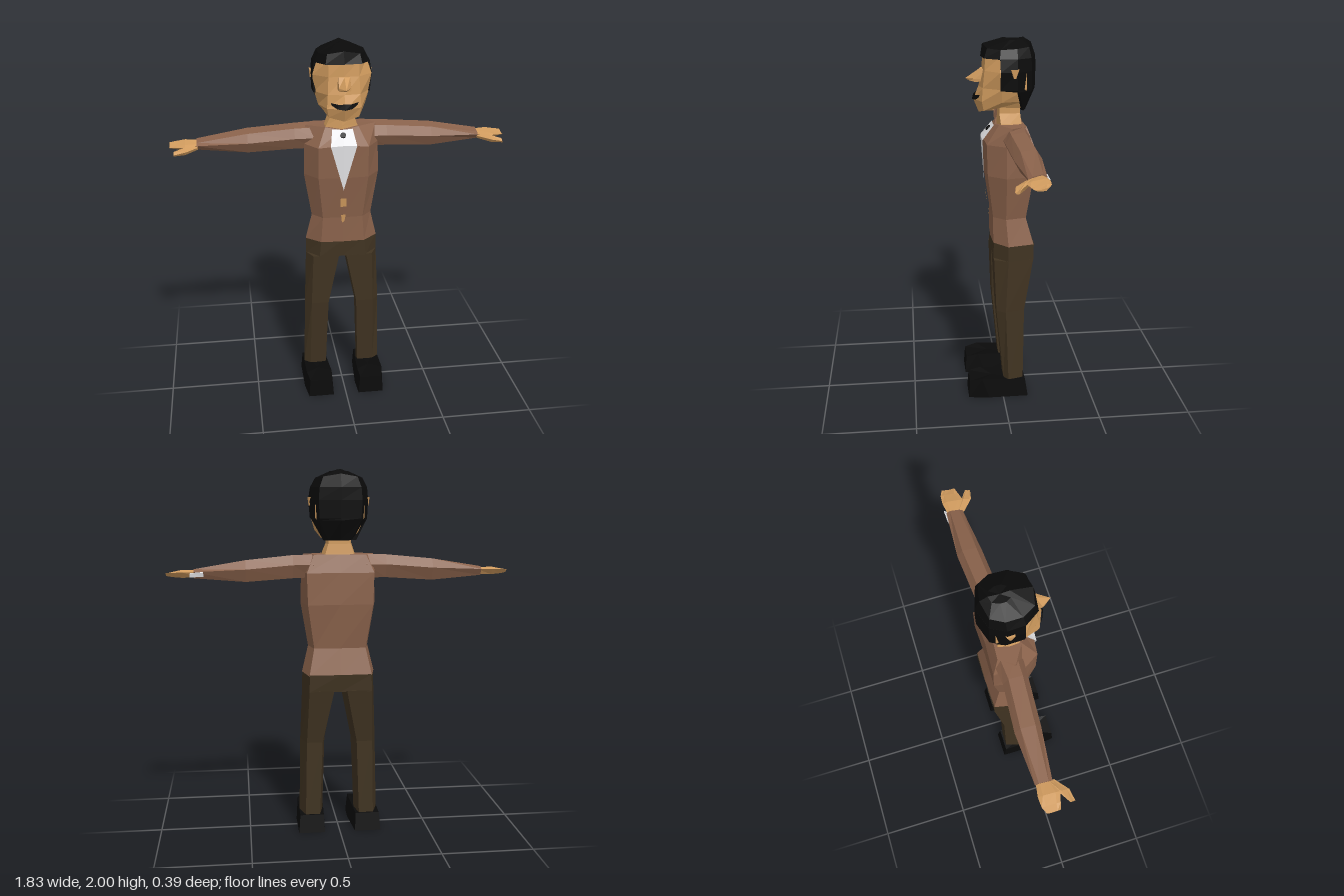
import * as THREE from 'three';

const paint = (name, color) => {
  const m = new THREE.MeshStandardMaterial({ color, flatShading: true, side: THREE.DoubleSide });
  m.name = name;
  return m;
};

// Closed loop from a half outline of [x, z, y?], front to back, mirrored across x
const half = (y, pts) => {
  const a = pts.map(([x, z, py]) => [x, py ?? y, z]);
  const b = a.filter(p => p[0] > 0).map(([x, py, z]) => [-x, py, z]).reverse();
  return [...a, ...b];
};
const flip = rings => rings.map(r => r.map(([x, y, z]) => [-x, y, z]).reverse());

// Skin a stack of equal loops and close both ends
function loft(rings) {
  const pos = [];
  const n = rings[0].length;
  const tri = (a, b, c) => pos.push(...a, ...b, ...c);
  for (let i = 0; i < rings.length - 1; i++) {
    for (let j = 0; j < n; j++) {
      const k = (j + 1) % n;
      tri(rings[i][j], rings[i][k], rings[i + 1][k]);
      tri(rings[i][j], rings[i + 1][k], rings[i + 1][j]);
    }
  }
  const mid = r => [0, 1, 2].map(c => r.reduce((s, p) => s + p[c], 0) / n);
  const first = rings[0], last = rings[rings.length - 1];
  for (let j = 0; j < n; j++) {
    const k = (j + 1) % n;
    tri(first[k], first[j], mid(first));
    tri(last[j], last[k], mid(last));
  }
  return fromTriangles(pos);
}
function fromTriangles(pos) {
  const g = new THREE.BufferGeometry();
  g.setAttribute('position', new THREE.Float32BufferAttribute(pos, 3));
  g.computeVertexNormals();
  return g;
}
// Open strip between an upper and a lower line, both running left to right
function strip(top, bottom) {
  const pos = [];
  for (let i = 0; i < top.length - 1; i++) {
    pos.push(...bottom[i], ...bottom[i + 1], ...top[i + 1], ...bottom[i], ...top[i + 1], ...top[i]);
  }
  return fromTriangles(pos);
}

export function createModel() {
  const model = new THREE.Group();
  const jacket = paint('jacket brown', 0x8a624b);
  const trouser = paint('trouser olive', 0x403321);
  const skin = paint('skin tan', 0xd09b5e);
  const black = paint('black', 0x0a0a0a);
  const white = paint('shirt white', 0xe4e4e6);
  const add = (name, geometry, material) => {
    const m = new THREE.Mesh(geometry, material);
    m.name = name;
    model.add(m);
    return m;
  };
  const pair = (name, rings, material) => {
    add('left' + name, loft(rings), material);
    add('right' + name, loft(flip(rings)), material);
  };

  // Jacket body
  add('jacketBody', loft([
    half(0.905, [[0, 0.05], [0.12, 0.045], [0.2, -0.03], [0.17, -0.17], [0, -0.175]]),
    half(1.05, [[0, 0.05], [0.11, 0.045], [0.165, -0.02], [0.14, -0.13], [0, -0.135]]),
    half(1.29, [[0, 0.085], [0.135, 0.075], [0.205, -0.02], [0.175, -0.165], [0, -0.16]]),
    half(1.46, [[0, 0.092, 1.475], [0.135, 0.08], [0.2, -0.02], [0.18, -0.165], [0, -0.155]]),
    half(1.555, [[0, 0.025, 1.54], [0.09, 0.01], [0.19, -0.05], [0.14, -0.13], [0, -0.12]]),
  ]), jacket);

  // Shirt front, collar stud and jacket buttons
  add('shirtFront', strip(
    [[-0.055, 1.548, 0.034], [0, 1.545, 0.036], [0.055, 1.548, 0.034]],
    [[-0.07, 1.47, 0.096], [0, 1.475, 0.1], [0.07, 1.47, 0.096]]), white);
  add('shirtPoint', fromTriangles([
    0, 1.22, 0.083, 0, 1.475, 0.1, -0.07, 1.47, 0.096,
    0, 1.22, 0.083, 0.07, 1.47, 0.096, 0, 1.475, 0.1]), white);
  const stud = add('collarStud', new THREE.CylinderGeometry(0.016, 0.016, 0.008, 8), black);
  stud.position.set(0, 1.522, 0.061);
  stud.rotation.x = 0.8;
  add('upperButton', strip([[-0.016, 1.17, 0.076], [0.016, 1.17, 0.076]],
    [[-0.016, 1.12, 0.069], [0.016, 1.12, 0.069]]), skin);
  add('lowerButton', strip([[-0.012, 1.07, 0.062], [0.014, 1.07, 0.062]],
    [[-0.006, 1.02, 0.056], [0.008, 1.03, 0.057]]), skin);

  // Trousers: hips and legs
  add('hips', loft([
    half(0.815, [[0, 0.045], [0.13, 0.045], [0.2, -0.03], [0.17, -0.17], [0, -0.165]]),
    half(0.91, [[0, 0.046], [0.12, 0.042], [0.198, -0.03], [0.168, -0.172], [0, -0.175]]),
  ]), trouser);
  const legRing = (y, xi, xo, zf, zb, zm) => [
    [xi + 0.005, y, zf], [xo - 0.035, y, zf], [xo, y, zm],
    [xo - 0.03, y, zb], [xi + 0.02, y, zb], [xi, y, zm]];
  pair('Leg', [
    legRing(0.1, 0.09, 0.22, -0.005, -0.115, -0.03),
    legRing(0.52, 0.075, 0.212, 0.034, -0.12, -0.015),
    legRing(0.82, 0.015, 0.2, 0.045, -0.17, -0.03),
  ], trouser);

  // Shoes
  pair('Shoe', [
    [[0.072, 0, 0.195], [0.215, 0, 0.195], [0.23, 0, 0.08], [0.23, 0, -0.14], [0.085, 0, -0.14], [0.068, 0, 0.08]],
    [[0.082, 0.1, 0.188], [0.207, 0.1, 0.188], [0.22, 0.115, 0.12], [0.222, 0.1, -0.125], [0.09, 0.1, -0.125], [0.076, 0.115, 0.12]],
  ], black);

  // Sleeves
  const armRing = (x, yt, yb, zf, zb) => {
    const ym = (yt + yb) / 2, w = (zf - zb) * 0.22;
    return [[x, yt, zb + w], [x, yt - 0.012, zf - w], [x, ym, zf],
      [x, yb, zf - w], [x, yb, zb + w], [x, ym + 0.01, zb]];
  };
  pair('Sleeve', [
    armRing(0.14, 1.556, 1.43, 0.0, -0.15),
    armRing(0.25, 1.553, 1.43, -0.005, -0.137),
    armRing(0.5, 1.53, 1.415, -0.02, -0.155),
    armRing(0.77, 1.485, 1.437, -0.05, -0.138),
  ], jacket);

  // Hands with thumbs
  pair('Hand', [
    armRing(0.75, 1.478, 1.442, -0.055, -0.13),
    armRing(0.83, 1.482, 1.44, -0.03, -0.143),
    armRing(0.88, 1.472, 1.445, -0.045, -0.14),
    armRing(0.914, 1.463, 1.45, -0.055, -0.125),
  ], skin);
  pair('Thumb', [
    armRing(0.765, 1.468, 1.442, -0.04, -0.08),
    armRing(0.83, 1.465, 1.432, 0.015, -0.04),
    armRing(0.89, 1.448, 1.432, 0.026, -0.002),
  ], skin);
  add('leftCuff', loft([
    armRing(0.72, 1.472, 1.445, -0.12, -0.146),
    armRing(0.79, 1.466, 1.445, -0.13, -0.148),
  ]), white);

  // Neck
  add('neck', loft([
    half(1.52, [[0, 0.015], [0.095, 0.0], [0.1, -0.05], [0.08, -0.115], [0, -0.115]]),
    half(1.56, [[0, 0.014], [0.085, 0.0], [0.088, -0.05], [0.075, -0.11], [0, -0.11]]),
    half(1.61, [[0, 0.012], [0.06, 0.005], [0.07, -0.05], [0.06, -0.105], [0, -0.105]]),
    half(1.67, [[0, 0.012], [0.06, 0.005], [0.07, -0.05], [0.06, -0.105], [0, -0.105]]),
  ]), skin);

  // Head
  add('head', loft([
    half(1.62, [[0, 0.11, 1.61], [0.08, 0.09, 1.63], [0.1, 0, 1.65], [0.08, -0.11, 1.64], [0, -0.12, 1.64]]),
    half(1.68, [[0, 0.138], [0.09, 0.1], [0.125, 0], [0.1, -0.12], [0, -0.14]]),
    half(1.75, [[0, 0.11], [0.085, 0.095], [0.145, 0], [0.13, -0.13], [0, -0.16]]),
    half(1.84, [[0, 0.09], [0.08, 0.085], [0.155, 0.012], [0.13, -0.13], [0, -0.16]]),
    half(1.92, [[0, 0.09], [0.08, 0.08], [0.13, 0.005], [0.12, -0.12], [0, -0.16]]),
  ]), skin);
  add('nose', loft([
    half(1.775, [[0, 0.165, 1.78], [0.03, 0.135], [0.035, 0.08], [0, 0.07]]),
    half(1.79, [[0, 0.18], [0.032, 0.13], [0.036, 0.08], [0, 0.07]]),
    half(1.84, [[0, 0.105], [0.03, 0.098], [0.034, 0.07], [0, 0.06]]),
  ]), skin);
  add('mouth', strip(
    [[-0.072, 1.712, 0.11], [-0.035, 1.706, 0.128], [0, 1.708, 0.138], [0.035, 1.706, 0.128], [0.072, 1.712, 0.11]],
    [[-0.068, 1.7, 0.114], [-0.04, 1.682, 0.13], [0, 1.678, 0.146], [0.04, 1.682, 0.13], [0.068, 1.7, 0.114]]), black);

  // Ears
  pair('Ear', [
    half(1.81, [[0.145, -0.055], [0.16, -0.06], [0.16, -0.07], [0.145, -0.075]]).slice(0, 4),
    half(1.855, [[0.145, -0.04], [0.165, -0.045], [0.163, -0.085], [0.145, -0.09]]).slice(0, 4),
  ], skin);

  // Hair: crown, then the sides and back
  add('hairCrown', loft([
    half(1.905, [[0, 0.1], [0.095, 0.088], [0.146, 0.012], [0.15, -0.08], [0.11, -0.155], [0, -0.19]]),
    half(1.955, [[0, 0.09, 1.97], [0.085, 0.072], [0.122, 0.005, 1.95], [0.125, -0.08], [0.09, -0.145, 1.96], [0, -0.165, 1.975]]),
    half(1.99, [[0, -0.02, 2], [0.03, -0.025], [0.045, -0.05], [0.045, -0.08], [0.03, -0.115], [0, -0.125, 2]]),
  ]), black);
  add('hairBack', loft([
    half(1.63, [[0, -0.1], [0.08, -0.108], [0.088, -0.118], [0.06, -0.13], [0, -0.135]]),
    half(1.735, [[0, -0.07], [0.14, -0.08], [0.146, -0.09], [0.11, -0.155], [0, -0.19]]),
    half(1.745, [[0, 0], [0.148, 0.01], [0.151, -0.08], [0.11, -0.158], [0, -0.19]]),
    half(1.84, [[0, 0], [0.157, 0.008], [0.156, -0.08], [0.115, -0.158], [0, -0.192]]),
    half(1.906, [[0, 0], [0.146, 0.01], [0.15, -0.08], [0.11, -0.155], [0, -0.19]]),
  ]), black);

  return model;
}
